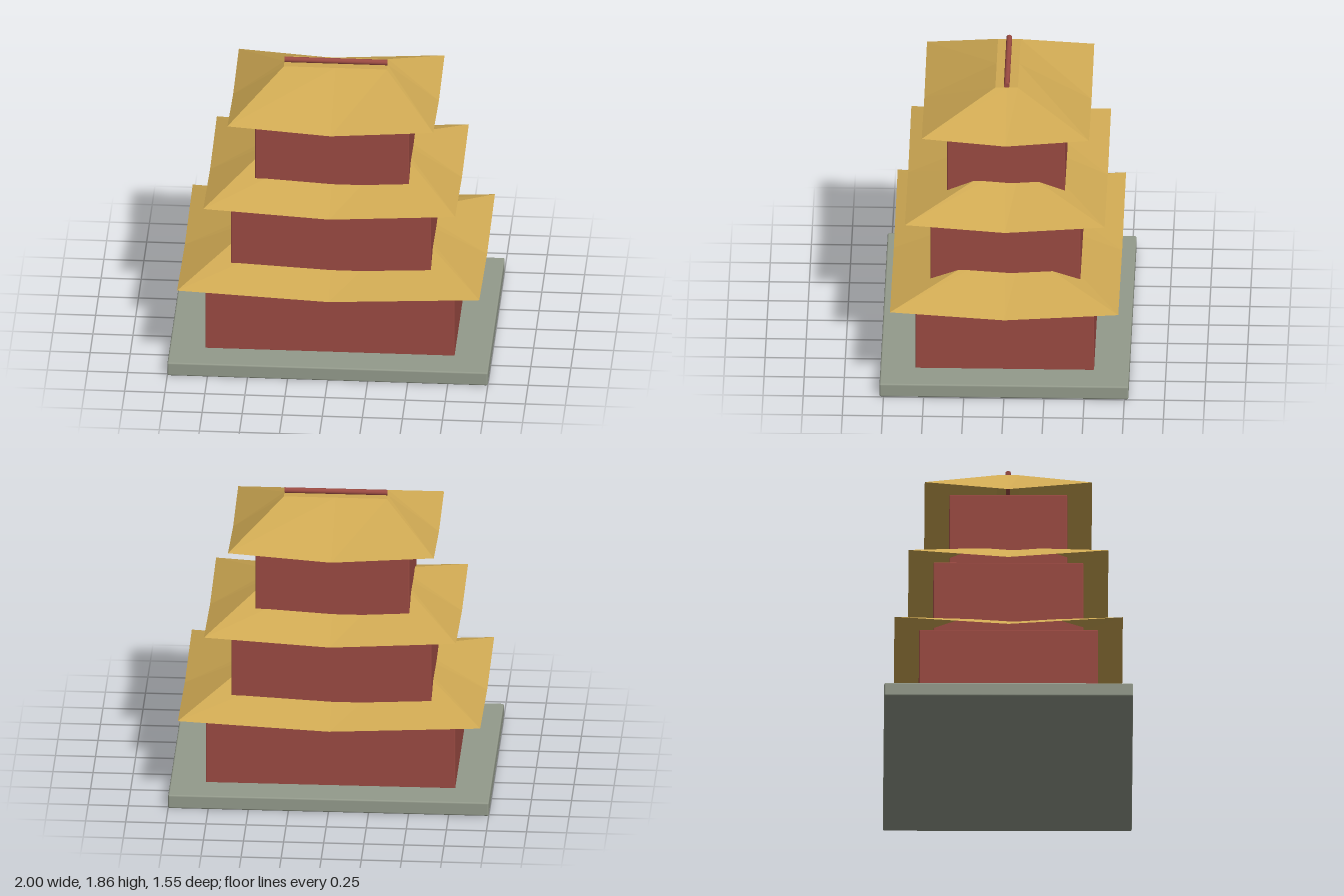
import * as THREE from 'three';
import { RoundedBoxGeometry } from 'three/addons/geometries/RoundedBoxGeometry.js';

const stone = new THREE.MeshStandardMaterial({ color: 0x939a8b });
stone.name = 'stone';
const redWood = new THREE.MeshStandardMaterial({ color: 0x9a4a42 });
redWood.name = 'redWood';
const ochreTile = new THREE.MeshStandardMaterial({ color: 0xcfa953, flatShading: true, side: THREE.DoubleSide });
ochreTile.name = 'ochreTile';

const EAVE_LIFT = 0.047; // corners sit this much above the middle of each eave
const ROOF_RISE = 0.245;

// Box with slightly softened edges, given by half sizes and its bottom and top
function block(name, material, halfX, halfZ, bottom, top, radius) {
  const geometry = new RoundedBoxGeometry(halfX * 2, top - bottom, halfZ * 2, 2, radius);
  const mesh = new THREE.Mesh(geometry, material);
  mesh.name = name;
  mesh.position.y = (bottom + top) / 2;
  return mesh;
}

// Eight points round a rectangle, counter-clockwise from above: corner, middle, corner...
function ring(halfX, halfZ, y, lift) {
  const steps = [[-1, 1], [0, 1], [1, 1], [1, 0], [1, -1], [0, -1], [-1, -1], [-1, 0]];
  return steps.map(([sx, sz], i) => [sx * halfX, y + (i % 2 ? 0 : lift), sz * halfZ]);
}

// Open hipped shell with sagging eaves and a narrow flat top
function roof(halfX, halfZ, y) {
  const eave = ring(halfX, halfZ, y, EAVE_LIFT);
  const crown = ring(halfX * 0.5, halfZ * 0.135, y + ROOF_RISE, 0);
  const points = [];
  for (let i = 0; i < 8; i++) {
    const j = (i + 1) % 8;
    points.push(eave[i], eave[j], crown[j], eave[i], crown[j], crown[i]);
  }
  points.push(crown[0], crown[2], crown[4], crown[0], crown[4], crown[6]);
  const geometry = new THREE.BufferGeometry();
  geometry.setAttribute('position', new THREE.Float32BufferAttribute(points.flat(), 3));
  geometry.computeVertexNormals();
  const mesh = new THREE.Mesh(geometry, ochreTile);
  mesh.name = 'roof';
  return mesh;
}

export function createModel() {
  const model = new THREE.Group();
  model.name = 'pagoda';
  model.add(block('plinth', stone, 1, 0.775, 0, 0.09, 0.01));

  // Three storeys, each with walls and a roof
  const storeys = [
    { wall: [0.778, 0.556], bottom: 0.085, eave: [0.943, 0.711], y: 0.52 },
    { wall: [0.624, 0.467], bottom: 0.56, eave: [0.786, 0.622], y: 1.053 },
    { wall: [0.48, 0.367], bottom: 1.09, eave: [0.642, 0.521], y: 1.586 },
  ];
  storeys.forEach(({ wall, bottom, eave, y }, i) => {
    const storey = new THREE.Group();
    storey.name = ['lowerStorey', 'middleStorey', 'upperStorey'][i];
    storey.add(block('walls', redWood, wall[0], wall[1], bottom, y + 0.037, 0.006));
    storey.add(roof(eave[0], eave[1], y));
    model.add(storey);
  });

  // Round pole along the top
  const ridge = new THREE.Mesh(new THREE.CylinderGeometry(0.018, 0.018, 0.642, 16), redWood);
  ridge.name = 'ridgePole';
  ridge.rotation.z = Math.PI / 2;
  ridge.position.y = 1.843;
  model.add(ridge);
  return model;
}
